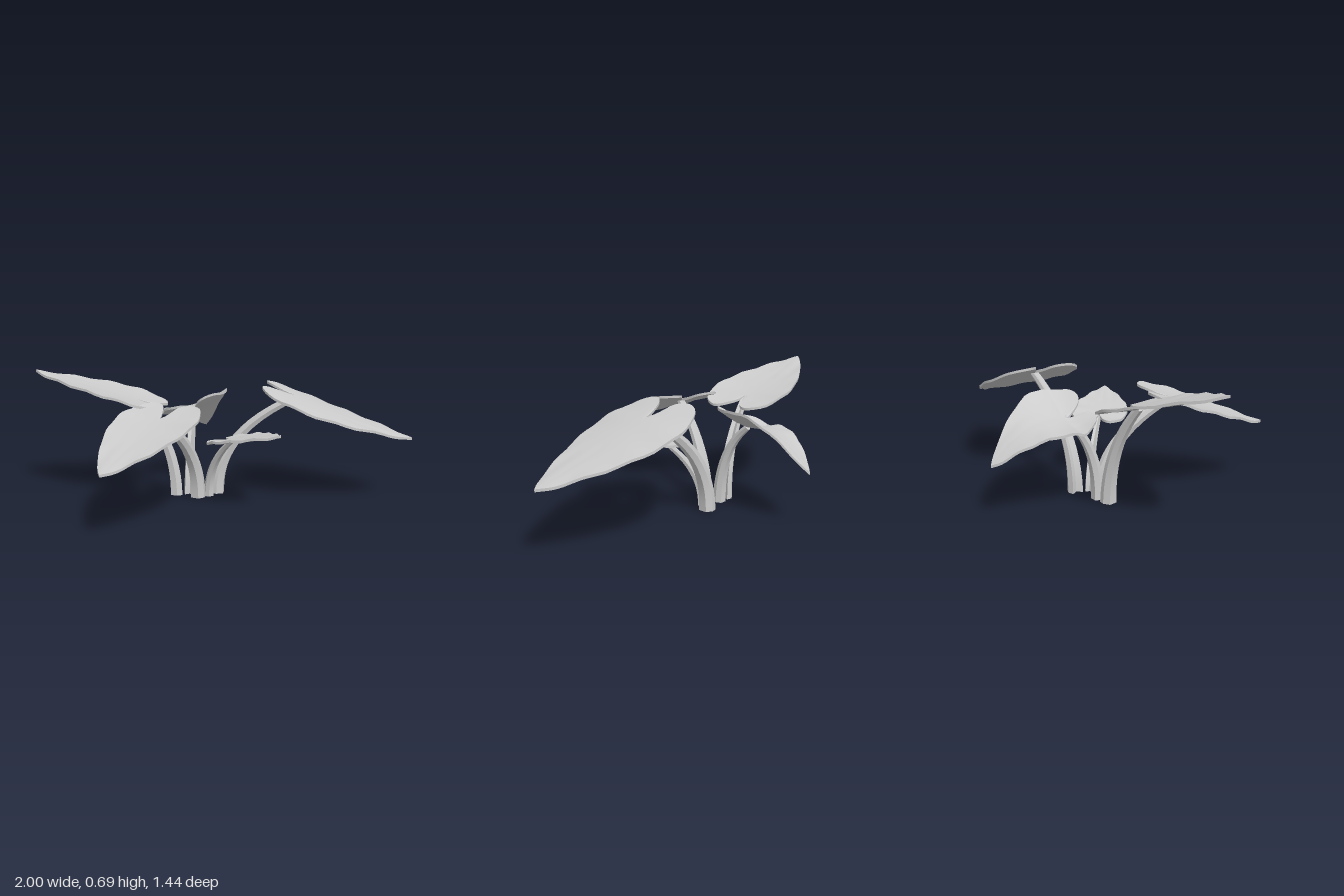
import * as THREE from 'three';
import { toCreasedNormals } from 'three/addons/utils/BufferGeometryUtils.js';

const material = new THREE.MeshStandardMaterial({ color: 0xcccccc });

// Half of the heart outline: u runs from notch to tip, v sideways (unit length)
const half = new THREE.SplineCurve([
  [0, 0], [-0.1, 0.035], [-0.22, 0.09], [-0.27, 0.19], [-0.2, 0.32], [-0.03, 0.4],
  [0.12, 0.415], [0.35, 0.37], [0.6, 0.265], [0.8, 0.155], [0.93, 0.067], [1, 0],
].map(([u, v]) => new THREE.Vector2(u, v))).getPoints(33);
const outline = [...half, ...half.slice(1, -1).reverse().map(p => new THREE.Vector2(p.x, -p.y))];

function build(positions, index, crease) {
  const g = new THREE.BufferGeometry();
  g.setAttribute('position', new THREE.Float32BufferAttribute(positions, 3));
  g.setIndex(index);
  return toCreasedNormals(g, crease);
}

// Heart-shaped blade: rings around a centre just in front of the notch
function leafGeometry({ notch, tip, wide = 1, cup = 0.3, roll = 0, bend = 0 }) {
  const [nx, ny, nz] = notch, [tx, ty, tz] = tip;
  const dx = tx - nx, dz = tz - nz, length = Math.hypot(dx, dz);
  const positions = [], index = [], n = outline.length, thickness = 0.013;
  const put = (u, v, edge, drop) => {
    const side = v * length;
    const y = ny + (ty - ny) * u + cup * side * side + roll * side
      + bend * Math.max(u, 0) * (1 - u) + 0.004 * edge * edge * Math.sin(u * 20 + v * 3);
    positions.push(nx + dx * u - dz * v, y - drop, nz + dz * u + dx * v);
  };
  const layers = [0.25, 0.5, 0.75, 1].map(t => [t, 0]);
  layers.push(...[1, 0.75, 0.5, 0.25].map(t => [t, thickness]));
  for (const [t, drop] of layers)
    for (const p of outline) put(0.08 + (p.x - 0.08) * t, p.y * wide * t, t, drop);
  put(0.08, 0, 0, 0);
  put(0.08, 0, 0, thickness);
  const top = layers.length * n, last = top - n;
  for (let j = 0; j < n; j++) {
    const k = (j + 1) % n;
    index.push(top, j, k, top + 1, last + k, last + j);
    for (let i = 0; i < layers.length - 1; i++) {
      const a = i * n + j, b = i * n + k;
      index.push(a, a + n, b + n, a, b + n, b);
    }
  }
  return build(positions, index, 0.7);
}

// Grooved stalk: tapering channel section swept along an arc
const section = [[-0.6, -0.9], [0.6, -0.9], [1, 0], [0.75, 0.8], [0, 0.3], [-0.75, 0.8], [-1, 0]];
function stemGeometry(base, end, rise, radius) {
  const [bx, bz] = base;
  const curve = new THREE.QuadraticBezierCurve3(
    new THREE.Vector3(bx, 0, bz), new THREE.Vector3(bx, rise, bz), new THREE.Vector3(...end));
  const side = new THREE.Vector3(end[2] - bz, 0, bx - end[0]).normalize();
  const steps = 12, n = section.length, positions = [], index = [];
  for (let i = 0; i <= steps; i++) {
    const t = i / steps, c = curve.getPoint(t), tangent = curve.getTangent(t);
    const up = tangent.clone().cross(side), r = radius * (1 - 0.5 * t);
    for (const [s, h] of section)
      positions.push(...c.clone().addScaledVector(side, s * r).addScaledVector(up, h * r).toArray());
  }
  positions.push(...curve.getPoint(0).toArray(), ...curve.getPoint(1).toArray());
  const foot = (steps + 1) * n, last = steps * n;
  for (let j = 0; j < n; j++) {
    const k = (j + 1) % n;
    index.push(foot, k, j, foot + 1, last + j, last + k);
    for (let i = 0; i < steps; i++) {
      const a = i * n + j, b = i * n + k;
      index.push(a, b, b + n, a, b + n, a + n);
    }
  }
  return build(positions, index, 0.4);
}

// Each leaf: notch and tip of the blade, foot of its stalk
const leaves = [
  { name: 'left', notch: [0.38, 0.56, -0.21], tip: [1, 0.345, -0.21], base: [-0.045, -0.2], rise: 0.35, radius: 0.04,
    cup: -0.25, bend: -0.03 },
  { name: 'right', notch: [-0.455, 0.535, -0.085], tip: [-1, 0.69, -0.02], base: [-0.26, -0.13], rise: 0.3, radius: 0.038 },
  { name: 'front', notch: [-0.262, 0.498, 0.228], tip: [-0.42, 0.335, 0.715], base: [-0.135, -0.1], rise: 0.3, radius: 0.04,
    wide: 1.04 },
  { name: 'back', notch: [-0.2, 0.45, -0.33], tip: [-0.2, 0.28, -0.725], base: [-0.19, -0.15], rise: 0.3, radius: 0.032,
    wide: 1.12, cup: 1, roll: 0.35, bend: 0.28 },
  { name: 'small', notch: [0.067, 0.36, 0.015], tip: [0.338, 0.43, 0.218], base: [-0.08, -0.13], rise: 0.2, radius: 0.026,
    wide: 1.06 },
];

export function createModel() {
  const plant = new THREE.Group();
  plant.name = 'plant';
  for (const leaf of leaves) {
    const group = new THREE.Group();
    group.name = leaf.name + 'Leaf';
    const blade = new THREE.Mesh(leafGeometry(leaf), material);
    blade.name = 'blade';
    const [x, y, z] = leaf.notch;
    const stem = new THREE.Mesh(stemGeometry(leaf.base, [x, y - 0.012, z], leaf.rise, leaf.radius), material);
    stem.name = 'stem';
    group.add(blade, stem);
    plant.add(group);
  }
  return plant;
}
